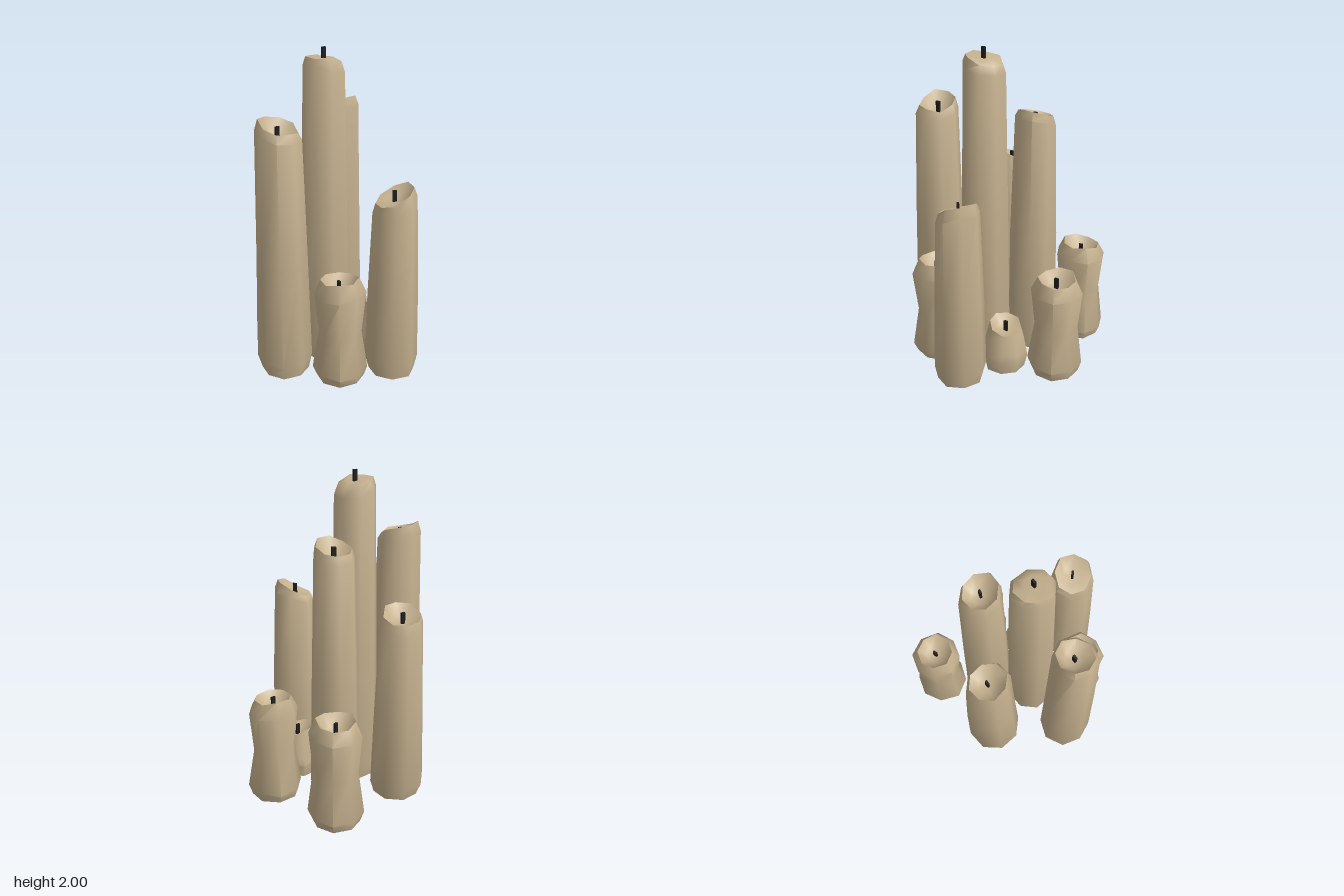
import * as THREE from 'three';
import { toCreasedNormals } from 'three/addons/utils/BufferGeometryUtils.js';

const SIDES = 8;

// Small seeded generator returning values in -1..1
function seeded(seed) {
  let s = seed * 7919 + 17;
  return () => {
    s = (s * 16807) % 2147483647;
    return (s / 2147483647) * 2 - 1;
  };
}

// Ring sections from the base centre up over the rim and down into the well.
// Each is [radius, height, share of rim tilt, uneven amount]
function sections(c) {
  const { r, h, foot, floor } = c;
  const well = [
    [r * 0.68, h, 1, 0.012],
    [r * 0.36, floor + 0.012, 0.2, 0.004],
    [0, floor, 0, 0],
  ];
  const base = [[0, foot, 0, 0], [r * 0.86, foot, 0, 0]];
  const body = c.waist
    ? [[r, foot + 0.06, 0, 0.008], [r * 0.78, h * 0.5, 0, 0.01], [r * 0.92, h - 0.09, 0.5, 0.01]]
    : [[r, foot + 0.09, 0, 0.012], [r * 0.92, h * 0.5, 0, 0.01], [r * 0.8, h - 0.055, 0.9, 0.01]];
  return [...base, ...body, ...well];
}

// Lumpy wax body lofted through the rings
function waxGeometry(c, seed) {
  const rnd = seeded(seed);
  const turn = rnd() * Math.PI;
  const lump = Array.from({ length: SIDES }, () => rnd() * 0.03);
  const rings = sections(c).map(([radius, y, tilt, uneven], i, all) => {
    const k = i / (all.length - 1);
    const [cx, cz] = [c.x + (c.wx - c.x) * k, c.z + (c.wz - c.z) * k];
    return Array.from({ length: SIDES }, (_, j) => {
      const a = turn + (j / SIDES) * Math.PI * 2;
      const rr = radius * (1 + lump[j] + (uneven ? rnd() * 0.025 : 0));
      const lift = tilt * (c.tx * Math.cos(a) + c.tz * Math.sin(a)) + uneven * rnd();
      return [cx + Math.cos(a) * rr, y + lift, cz + Math.sin(a) * rr];
    });
  });
  const pos = [];
  for (let i = 0; i < rings.length - 1; i++) {
    for (let j = 0; j < SIDES; j++) {
      const n = (j + 1) % SIDES;
      const [a, b, d, e] = [rings[i][j], rings[i][n], rings[i + 1][n], rings[i + 1][j]];
      if (i > 0) pos.push(...a, ...e, ...b);
      if (i < rings.length - 2) pos.push(...b, ...e, ...d);
    }
  }
  const g = new THREE.BufferGeometry();
  g.setAttribute('position', new THREE.Float32BufferAttribute(pos, 3));
  return toCreasedNormals(g, 0.95);
}

// x, z: base centre; wx, wz: wick; r: base radius; h: mean rim height;
// tx, tz: rim slope; top: wick tip; spin: wick turn
const candles = [
  { name: 'tallestCandle', x: -0.115, z: -0.015, wx: -0.12, wz: -0.015, r: 0.162, h: 1.935, tx: -0.03, tz: 0, top: 2.0, spin: 0, foot: 0 },
  { name: 'tallLeftCandle', x: -0.472, z: 0, wx: -0.475, wz: -0.02, r: 0.165, h: 1.605, tx: -0.01, tz: -0.035, top: 1.6, spin: 0, foot: 0.03 },
  { name: 'tallBackCandle', x: 0.148, z: -0.175, wx: 0.15, wz: -0.17, r: 0.16, h: 1.615, tx: 0, tz: 0.035, top: 1.61, spin: -0.3, foot: 0.02 },
  { name: 'frontCandle', x: 0.018, z: 0.445, wx: 0.02, wz: 0.435, r: 0.168, h: 1.18, tx: 0.05, tz: 0.02, top: 1.21, spin: -0.8, foot: 0.015 },
  { name: 'mediumBackCandle', x: -0.17, z: -0.39, wx: -0.178, wz: -0.41, r: 0.172, h: 1.195, tx: -0.015, tz: 0.035, top: 1.21, spin: 0, foot: 0.015 },
  { name: 'shortFrontCandle', x: -0.27, z: 0.28, wx: -0.28, wz: 0.28, r: 0.168, h: 0.675, tx: 0, tz: 0.012, top: 0.67, spin: 1.4, foot: 0.015, waist: true },
  { name: 'shortSideCandle', x: 0.463, z: 0.04, wx: 0.457, wz: 0.04, r: 0.17, h: 0.668, tx: -0.008, tz: -0.01, top: 0.67, spin: 0, foot: 0.015, waist: true },
  { name: 'shortBackCandle', x: 0.34, z: -0.45, wx: 0.345, wz: -0.45, r: 0.172, h: 0.675, tx: 0, tz: 0.01, top: 0.66, spin: 0.35, foot: 0.015, waist: true },
  { name: 'smallestCandle', x: 0.175, z: 0.185, wx: 0.185, wz: 0.185, r: 0.146, h: 0.31, tx: -0.03, tz: -0.02, top: 0.34, spin: 0, foot: 0.02 },
];

export function createModel() {
  const wax = new THREE.MeshStandardMaterial({ color: 0xc4b08e });
  wax.name = 'wax';
  const char = new THREE.MeshStandardMaterial({ color: 0x1e1e1e });
  char.name = 'charredWick';

  const model = new THREE.Group();
  model.name = 'candleCluster';

  candles.forEach((c, i) => {
    const candle = new THREE.Group();
    candle.name = c.name;
    c.floor = c.top - 0.07;

    const body = new THREE.Mesh(waxGeometry(c, i + 3), wax);
    body.name = 'waxBody';

    // Flat wick standing in the melted well
    const wick = new THREE.Mesh(new THREE.BoxGeometry(0.026, 0.09, 0.014), char);
    wick.name = 'wick';
    wick.position.set(c.wx, c.top - 0.045, c.wz);
    wick.rotation.y = c.spin;

    candle.add(body, wick);
    model.add(candle);
  });
  return model;
}
